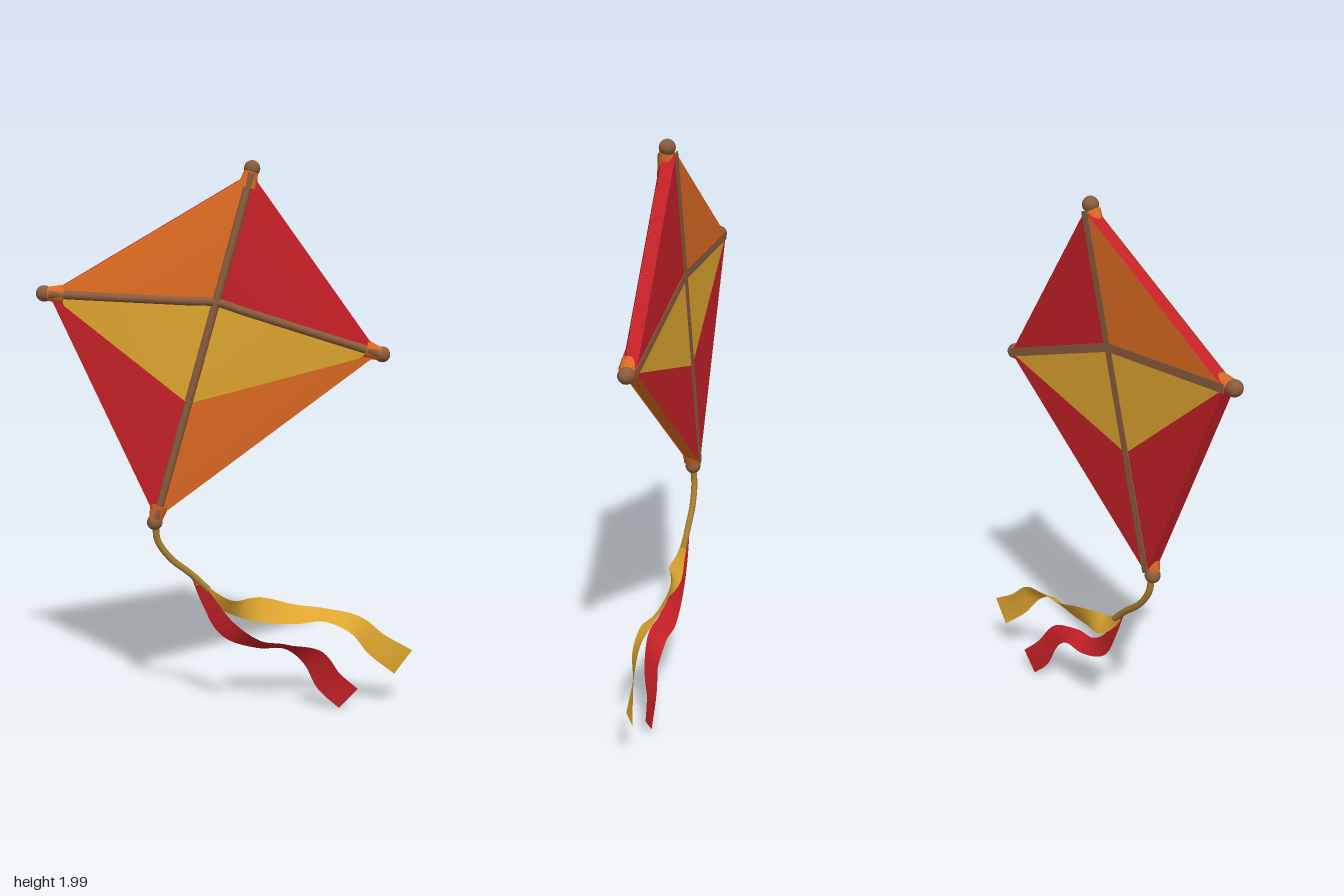
import * as THREE from 'three';

const mat = (name, color, side = THREE.FrontSide) => {
  const m = new THREE.MeshStandardMaterial({ color, side });
  m.name = name;
  return m;
};

export function createModel() {
  const kite = new THREE.Group();
  kite.name = 'kite';
  const red = mat('red cloth', 0xc42026, THREE.DoubleSide);
  const orange = mat('orange cloth', 0xdc6a22, THREE.DoubleSide);
  const yellow = mat('yellow cloth', 0xdea52e, THREE.DoubleSide);
  const wood = mat('brown wood', 0x8a5c3c);
  const cord = mat('tan cord', 0xa57c30);

  const add = (name, geo, material, parent = kite) => {
    const m = new THREE.Mesh(geo, material);
    m.name = name;
    parent.add(m);
    return m;
  };

  // Sail corners: x, y and s, which runs from 0 at the crossing to 1 at the rim
  const P = (x, y, s) => new THREE.Vector3(x, y, s);
  const C = P(-0.065, 1.52, 0);
  const T = P(0.058, 1.955, 1), L = P(-0.635, 1.55, 1);
  const R = P(0.508, 1.335, 1), B = P(-0.277, 0.755, 1);
  const M = C.clone().lerp(B, 0.46);
  const BACK = -0.032;
  const frontZ = s => 0.012 + 0.028 * (1 - s * s);

  // Triangular cloth panel, bowed on the front or flat on the back
  function panel(name, a, b, c, material, front, lift = 0) {
    const ccw = (b.x - a.x) * (c.y - a.y) - (b.y - a.y) * (c.x - a.x) > 0;
    if (ccw !== front) [b, c] = [c, b];
    const n = front ? 10 : 1, pos = [], idx = [];
    const at = (i, j) => (i * (i + 1)) / 2 + j;
    for (let i = 0; i <= n; i++) {
      for (let j = 0; j <= i; j++) {
        const v = a.clone().multiplyScalar(1 - i / n)
          .addScaledVector(b, (i - j) / n).addScaledVector(c, j / n);
        pos.push(v.x, v.y, front ? frontZ(v.z) + lift : BACK - lift);
        if (i < n) {
          idx.push(at(i, j), at(i + 1, j), at(i + 1, j + 1));
          if (j < i) idx.push(at(i, j), at(i + 1, j + 1), at(i, j + 1));
        }
      }
    }
    const g = new THREE.BufferGeometry();
    g.setAttribute('position', new THREE.Float32BufferAttribute(pos, 3));
    g.setIndex(idx);
    g.computeVertexNormals();
    add(name, g, material);
  }

  for (const front of [true, false]) {
    const side = front ? 'front' : 'back';
    panel(side + 'UpperRightPanel', C, T, L, orange, front);
    panel(side + 'UpperLeftPanel', C, T, R, red, front);
    panel(side + 'InnerRightPanel', C, L, M, yellow, front);
    panel(side + 'InnerLeftPanel', C, R, M, yellow, front);
    panel(side + 'LowerRightPanel', M, L, B, red, front);
    panel(side + 'LowerLeftPanel', M, R, B, front ? orange : red, front);
  }

  // Rim walls and folded hems along the four outer edges
  const edges = [[T, L, red, orange], [L, B, red, red], [B, R, orange, orange], [R, T, red, red]];
  for (const [a, b, wallMat, hemMat] of edges) {
    const z = frontZ(1);
    const g = new THREE.BufferGeometry();
    g.setAttribute('position', new THREE.Float32BufferAttribute(
      [a.x, a.y, z, a.x, a.y, BACK, b.x, b.y, BACK, b.x, b.y, z], 3));
    g.setIndex([0, 1, 2, 0, 2, 3]);
    g.computeVertexNormals();
    add('rimWall', g, wallMat);
    const ai = a.clone().lerp(C, 0.06), bi = b.clone().lerp(C, 0.06);
    panel('hem', a, b, bi, hemMat, true, 0.004);
    panel('hem', a, bi, ai, hemMat, true, 0.004);
  }

  // Bowed wooden spars on the front
  function spar(name, p, q) {
    const pts = [];
    for (let i = -6; i <= 6; i++) {
      const v = C.clone().lerp(i < 0 ? p : q, Math.abs(i) / 6);
      pts.push(new THREE.Vector3(v.x, v.y, frontZ(v.z) + 0.003));
    }
    add(name, new THREE.TubeGeometry(new THREE.CatmullRomCurve3(pts), 48, 0.0145, 10), wood);
  }
  spar('spine', T, B);
  spar('crossSpar', L, R);

  // Flat strips on the back, round tips and cloth collars at each corner
  const up = new THREE.Vector3(0, 1, 0);
  for (const end of [T, L, R, B]) {
    const dir = new THREE.Vector3(end.x - C.x, end.y - C.y, 0);
    const len = dir.length();
    dir.normalize();
    const strip = add('backStrip', new THREE.BoxGeometry(0.03, len, 0.004), wood);
    strip.position.set((C.x + end.x) / 2, (C.y + end.y) / 2, BACK - 0.001);
    strip.quaternion.setFromUnitVectors(up, dir);
    const tip = add('sparTip', new THREE.SphereGeometry(0.028, 20, 14), wood);
    tip.position.set(end.x, end.y, -0.004).addScaledVector(dir, 0.017);
    const collar = add('cornerCollar', new THREE.CylinderGeometry(0.024, 0.034, 0.055, 14), orange);
    collar.position.set(end.x, end.y, 0).addScaledVector(dir, -0.022);
    collar.quaternion.setFromUnitVectors(up, dir);
  }

  // Tail cord
  const cordPath = new THREE.CatmullRomCurve3([
    [-0.278, 0.74, -0.005], [-0.272, 0.67, -0.012], [-0.225, 0.6, -0.018],
    [-0.155, 0.542, -0.02], [-0.09, 0.48, -0.02]].map(p => new THREE.Vector3(...p)));
  add('tailCord', new THREE.TubeGeometry(cordPath, 30, 0.012, 8), cord);

  // Bows: two flared loops and a knot
  function bow(x, y, angle, matA, matB, knotMat, size) {
    const g = new THREE.Group();
    g.name = 'tailBow';
    g.position.set(x, y, -0.016);
    g.rotation.z = angle;
    for (const [s, m] of [[1, matA], [-1, matB]]) {
      const loop = add('bowLoop', new THREE.CylinderGeometry(0.046, 0.014, 0.072, 14), m, g);
      loop.scale.z = 0.42;
      loop.position.x = s * 0.042;
      loop.rotation.z = -s * Math.PI / 2;
    }
    add('bowKnot', new THREE.SphereGeometry(0.022, 14, 10), knotMat, g);
    g.scale.setScalar(size);
  }
  bow(-0.268, 0.667, 0.14, red, red, red, 0.92);
  bow(-0.155, 0.535, 0.75, orange, yellow, orange, 1.12);

  // Twisting ribbons; rows are x, y, z, seen width, depth of twist
  function ribbon(name, rows, material) {
    const path = new THREE.CatmullRomCurve3(rows.map(r => new THREE.Vector3(r[0], r[1], r[2])));
    const form = new THREE.CatmullRomCurve3(rows.map(r => new THREE.Vector3(r[3], r[4], 0)));
    const n = 60, pos = [], idx = [];
    for (let i = 0; i <= n; i++) {
      const t = i / n, c = path.getPoint(t), d = path.getTangent(t), f = form.getPoint(t);
      const k = 1 / Math.hypot(d.x, d.y);
      const off = new THREE.Vector3(-d.y * k * f.x, d.x * k * f.x, f.y).multiplyScalar(0.5);
      for (const s of [1, 0, -1]) pos.push(c.x + s * off.x, c.y + s * off.y, c.z + s * off.z);
      if (i < n) {
        for (const j of [0, 1]) {
          const a = i * 3 + j;
          idx.push(a, a + 1, a + 4, a, a + 4, a + 3);
        }
      }
    }
    const g = new THREE.BufferGeometry();
    g.setAttribute('position', new THREE.Float32BufferAttribute(pos, 3));
    g.setIndex(idx);
    g.computeVertexNormals();
    add(name, g, material);
  }
  ribbon('yellowRibbon', [
    [-0.14, 0.53, -0.02, 0.025, 0.01], [-0.08, 0.46, -0.015, 0.04, 0.02],
    [-0.01, 0.415, -0.012, 0.06, 0.04], [0.1, 0.4, -0.02, 0.085, -0.03],
    [0.22, 0.38, -0.02, 0.06, -0.05], [0.33, 0.378, -0.01, 0.035, -0.055],
    [0.45, 0.335, -0.005, 0.065, -0.04], [0.53, 0.255, -0.02, 0.09, -0.02],
    [0.632, 0.18, -0.038, 0.11, 0]], yellow);
  ribbon('redRibbon', [
    [-0.14, 0.53, -0.022, 0.025, 0.01], [-0.09, 0.435, -0.02, 0.05, 0.02],
    [-0.02, 0.33, -0.015, 0.07, 0.03], [0.09, 0.272, -0.01, 0.045, 0.055],
    [0.19, 0.262, -0.005, 0.035, 0.06], [0.295, 0.21, -0.012, 0.085, 0.03],
    [0.355, 0.115, -0.03, 0.1, 0.01], [0.43, 0.042, -0.042, 0.1, 0]], red);

  return kite;
}
